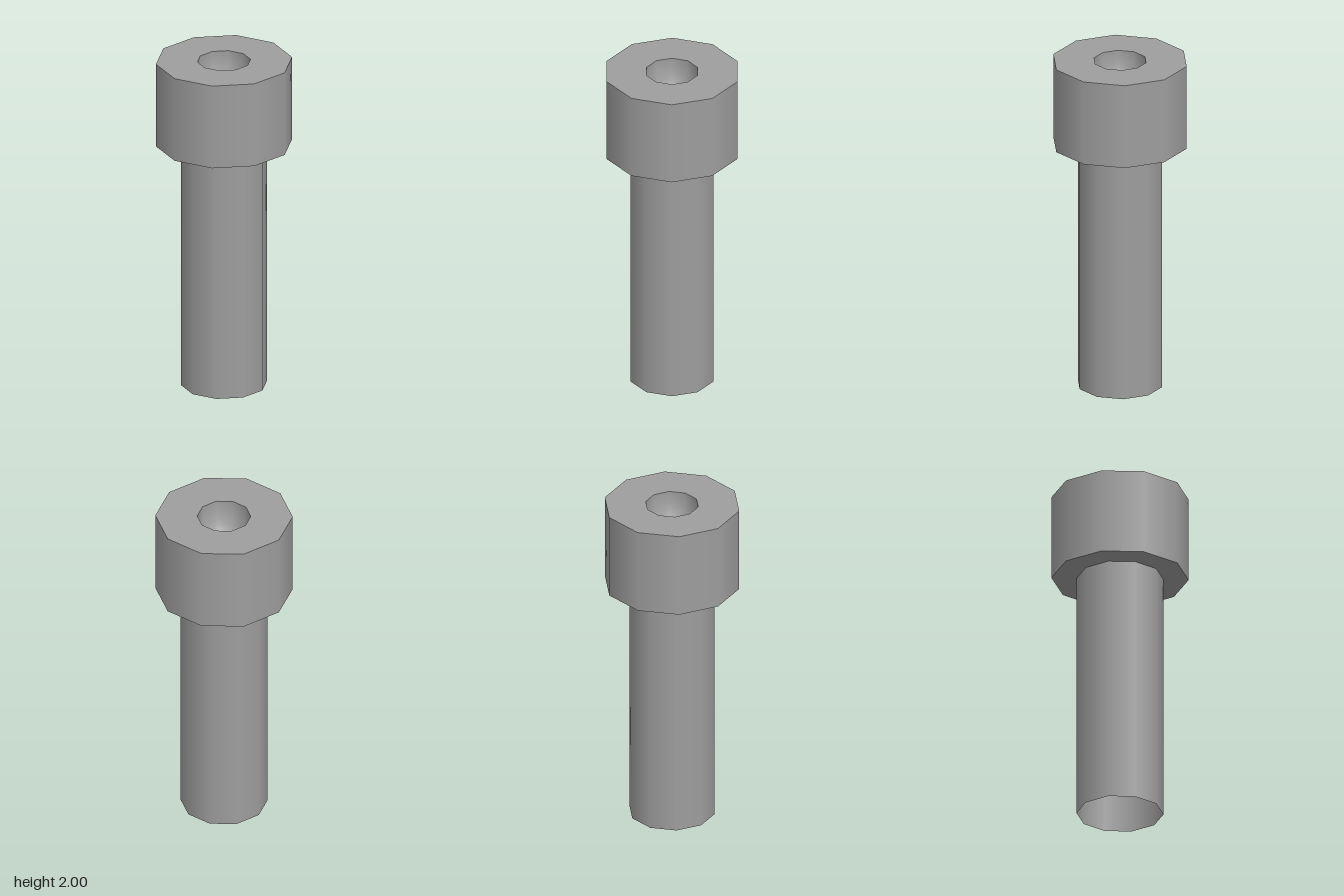
import * as THREE from 'three';
import { mergeVertices } from 'three/addons/utils/BufferGeometryUtils.js';

const SIDES = 10;
const HEAD_R = 0.395, SHANK_R = 0.25, SOCKET_R = 0.154, SOCKET_DEPTH = 0.25;
const TOP = 2, HEAD_BASE = 1.49;

export function createModel() {
  const group = new THREE.Group();
  group.name = 'socketBolt';
  const material = new THREE.MeshStandardMaterial({ color: 0x9e9e9e, side: THREE.DoubleSide });

  // Each part is welded so that round walls have no seam
  const add = (name, geometry, y) => {
    geometry.deleteAttribute('uv');
    const mesh = new THREE.Mesh(mergeVertices(geometry), material);
    mesh.name = name;
    mesh.position.y = y;
    group.add(mesh);
  };
  // Open ten-sided wall with a corner on the x axis
  const wall = (r, h) =>
    new THREE.CylinderGeometry(r, r, h, SIDES, 1, true, Math.PI / 2);
  // Flat ten-sided ring facing up (-1) or down (1)
  const ring = (inner, outer, dir) =>
    new THREE.RingGeometry(inner, outer, SIDES).rotateX(dir * Math.PI / 2);

  // Shank, open at the bottom
  add('shank', wall(SHANK_R, HEAD_BASE), HEAD_BASE / 2);

  // Head: side wall, underside and top face
  add('headSide', wall(HEAD_R, TOP - HEAD_BASE), (TOP + HEAD_BASE) / 2);
  add('headUnderside', ring(SHANK_R, HEAD_R, 1), HEAD_BASE);
  add('headTop', ring(SOCKET_R, HEAD_R, -1), TOP);

  // Deep rounded socket sunk into the head
  const bowl = new THREE.SphereGeometry(SOCKET_R, SIDES, 8, 0, Math.PI * 2, Math.PI / 2, Math.PI / 2);
  add('socket', bowl.scale(1, SOCKET_DEPTH / SOCKET_R, 1), TOP);

  return group;
}
